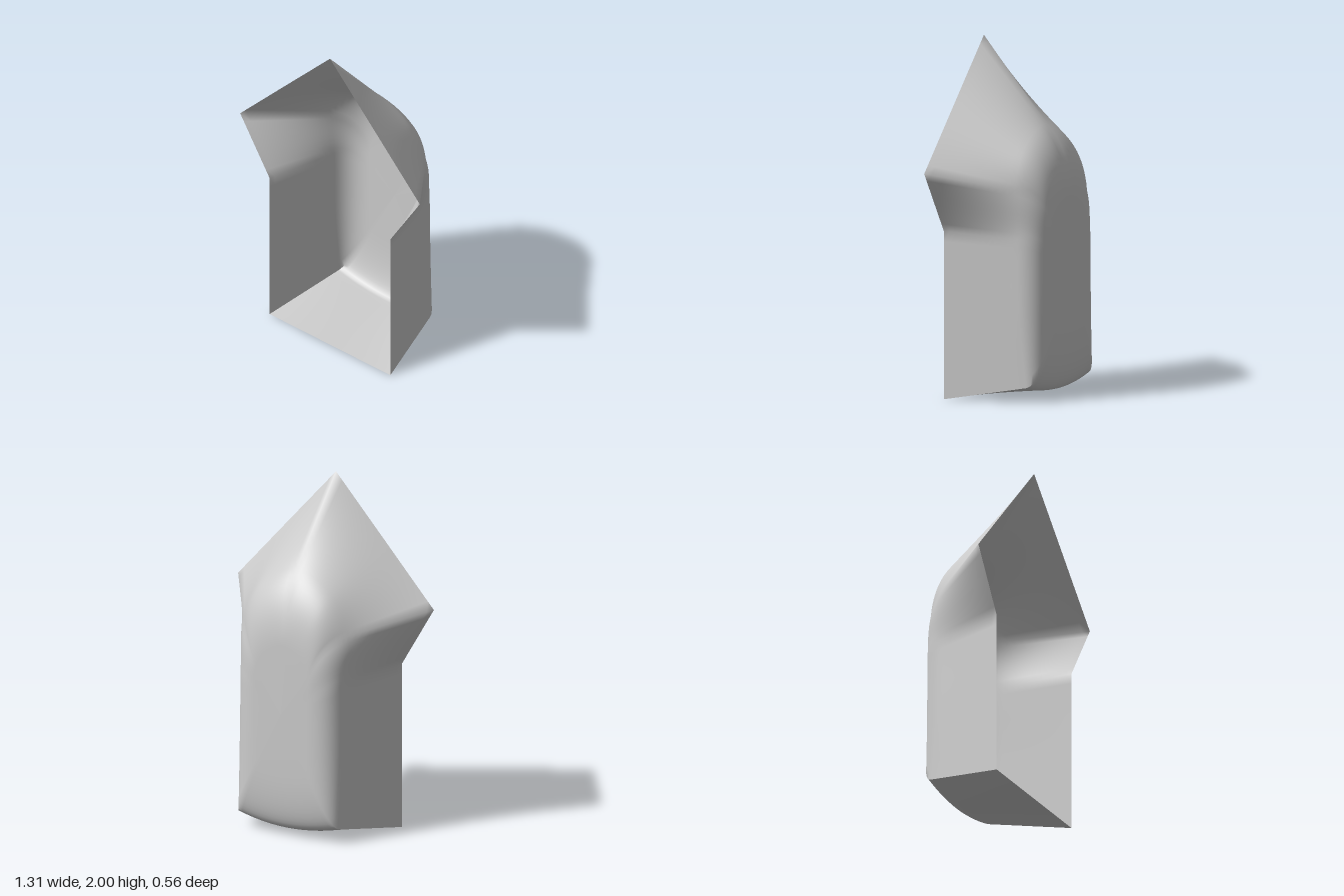
import * as THREE from 'three';

const V = (x, y, z) => new THREE.Vector3(x, y, z);
// Mirrors a right-hand run of points (bottom corner to apex) over to the left.
const mirrored = (half) => [...half, ...half.slice(0, -1).reverse().map((p) => V(-p.x, p.y, p.z))];

const FRONT = 0.28;
const CENTRE = V(0, 0.72, -0.28);
const WALL = 12, ROUND = 12, FLAT = 4; // ring counts from the rim to the middle of the back
const STEP = 8, BASE = 24; // columns per outline key, and along the base

// Arrow-shaped open rim
const rimKeys = mirrored([
  V(0.44, 0, FRONT), V(0.44, 0.48, FRONT), V(0.44, 0.95, FRONT),
  V(0.655, 1.3, FRONT), V(0.33, 1.648, FRONT), V(0, 2, FRONT),
]);
// Rounded outline where the walls begin to turn into the back
const wallKeys = mirrored([
  V(0.335, 0.085, -0.19), V(0.345, 0.5, -0.15), V(0.345, 0.92, -0.14),
  V(0.352, 1.2, -0.13), V(0.235, 1.42, -0.12), V(0, 1.53, -0.12),
]);

// Pairs of matching rim and wall points: up and over the body, then along the base
function makeColumns() {
  const columns = [];
  const wallCurve = new THREE.CatmullRomCurve3(wallKeys);
  const spans = rimKeys.length - 1;
  for (let i = 0; i <= spans * STEP; i++) {
    const k = Math.min(Math.floor(i / STEP), spans - 1);
    const rim = rimKeys[k].clone().lerp(rimKeys[k + 1], i / STEP - k);
    columns.push([rim, wallCurve.getPoint(i / (spans * STEP))]);
  }
  for (let i = 0; i <= BASE; i++) {
    const u = -1 + (2 * i) / BASE;
    columns.push([V(0.44 * u, 0, FRONT), V(0.335 * u, 0.04 + 0.045 * u * u, -0.19)]);
  }
  return columns;
}

// One line of points from the rim, down the wall, round the edge, to the centre of the back
function makeLine([rim, wall]) {
  const points = [];
  for (let i = 0; i < WALL; i++) points.push(rim.clone().lerp(wall, i / WALL));
  const reach = (wall.z + 0.27) / (rim.z - wall.z);
  const turn = wall.clone().addScaledVector(wall.clone().sub(rim), reach);
  const inner = wall.clone().lerp(CENTRE, 0.5).setZ(-0.275);
  const bend = new THREE.QuadraticBezierCurve3(wall, turn, inner);
  for (let i = 0; i < ROUND; i++) points.push(bend.getPoint(i / ROUND));
  for (let i = 0; i <= FLAT; i++) points.push(inner.clone().lerp(CENTRE, i / FLAT));
  return points;
}

function makeShell() {
  const lines = makeColumns().map(makeLine);
  const rows = lines[0].length, last = lines.length - 1;
  const seam = last - BASE - 1; // final body column, beside the first base column
  // The base corners stay sharp along the wall and merge on the rounded back
  const id = (r, c) => {
    if (r > WALL + 2) {
      if (c === seam + 1) c = seam;
      if (c === last) c = 0;
    }
    return c * rows + r;
  };
  const index = [];
  for (let c = 0; c < last; c++) {
    if (c === seam) continue;
    for (let r = 0; r < rows - 1; r++) {
      const a = id(r, c), b = id(r + 1, c), d = id(r + 1, c + 1), e = id(r, c + 1);
      index.push(a, b, d);
      if (r < rows - 1) index.push(a, d, e);
    }
  }
  const geometry = new THREE.BufferGeometry().setFromPoints(lines.flat());
  geometry.setIndex(index);
  geometry.computeVertexNormals();
  return geometry;
}

export function createModel() {
  const group = new THREE.Group();
  group.name = 'hollowShell';
  const material = new THREE.MeshStandardMaterial({ color: 0xcccccc, side: THREE.DoubleSide });
  const shell = new THREE.Mesh(makeShell(), material);
  shell.name = 'openShell';
  group.add(shell);
  return group;
}
